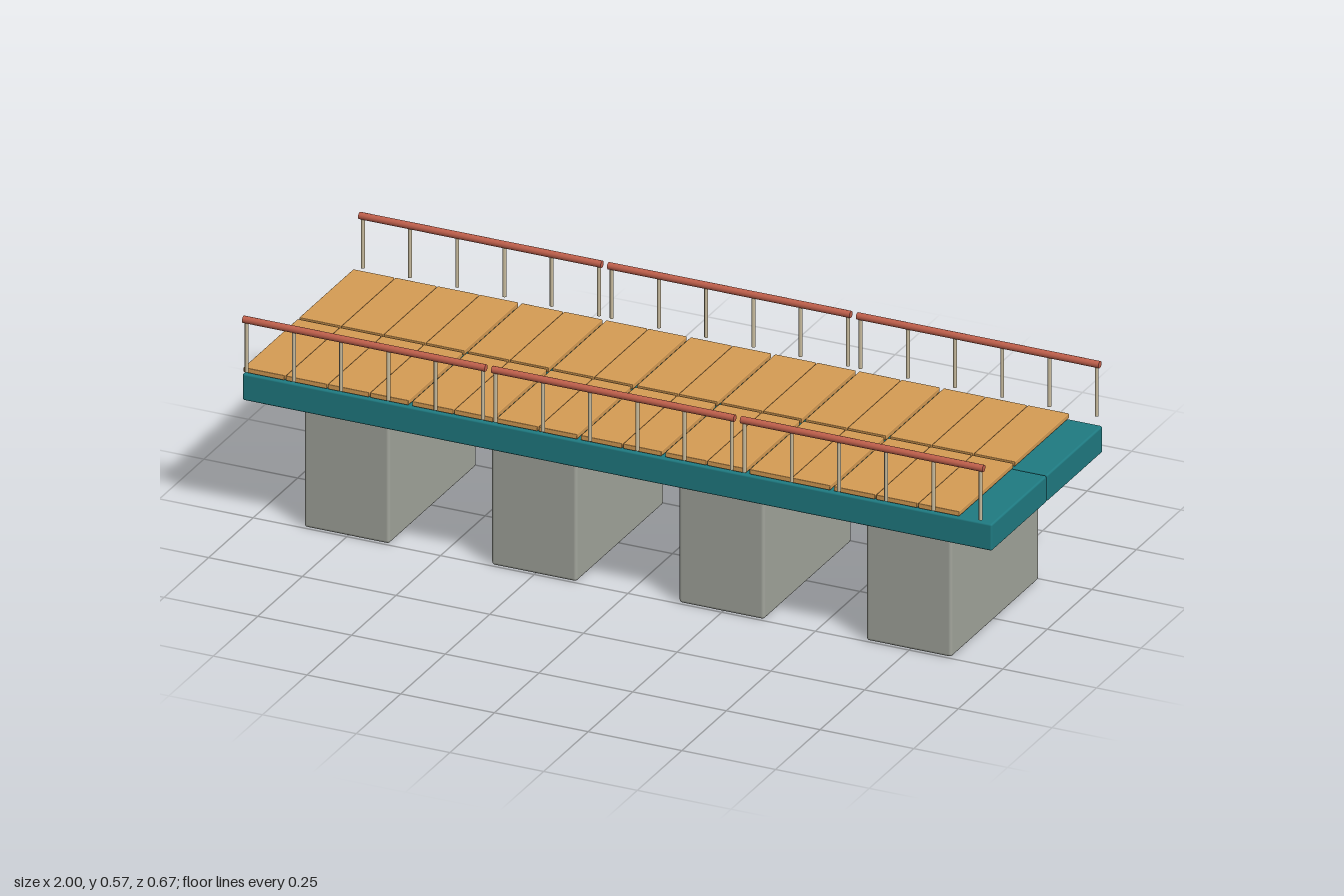
import * as THREE from 'three';
import { RoundedBoxGeometry } from 'three/addons/geometries/RoundedBoxGeometry.js';

const material = (name, color) => {
  const m = new THREE.MeshStandardMaterial({ color });
  m.name = name;
  return m;
};

export function createModel() {
  const stone = material('grey stone', 0xa2a59c);
  const teal = material('teal beam paint', 0x1f7b82);
  const wood = material('plank wood', 0xd69c54);
  const red = material('red handrail', 0xc0604c);
  const cream = material('cream post', 0xcabd9f);

  const bridge = new THREE.Group();
  bridge.name = 'bridge';

  const add = (name, geometry, mat, x, y, z, parent = bridge) => {
    const mesh = new THREE.Mesh(geometry, mat);
    mesh.name = name;
    mesh.position.set(x, y, z);
    parent.add(mesh);
    return mesh;
  };

  // Four stone piers
  const pierGeo = new RoundedBoxGeometry(0.228, 0.343, 0.492, 2, 0.008);
  for (let i = 0; i < 4; i++) add('pier', pierGeo, stone, -0.753 + i * 0.5, 0.1715, 0);

  const beamGeo = new RoundedBoxGeometry(2, 0.071, 0.31, 2, 0.005);
  const railGeo = new THREE.CylinderGeometry(0.009, 0.009, 0.647, 12).rotateZ(Math.PI / 2);
  const postGeo = new THREE.CylinderGeometry(0.0048, 0.0048, 0.136, 10);
  const pitch = 0.1125;
  const wideGaps = [4, 6, 8, 10, 12, 14]; // joints left slightly open

  // Each half: beam, planks and railing
  for (const side of [1, -1]) {
    add('deckBeam', beamGeo, teal, 0, 0.3745, side * 0.1565);

    const planks = new THREE.Group();
    planks.name = 'planks';
    bridge.add(planks);
    for (let i = 0; i < 17; i++) {
      const start = -0.998 + i * pitch;
      const width = pitch - (wideGaps.includes(i + 1) ? 0.01 : 0.003);
      const geo = new RoundedBoxGeometry(width, 0.013, 0.305, 1, 0.002);
      add('plank', geo, wood, start + width / 2, 0.4195, side * 0.1565, planks);
    }

    const railing = new THREE.Group();
    railing.name = 'railing';
    bridge.add(railing);
    for (let s = 0; s < 3; s++) {
      const centre = -0.666 + s * 0.664;
      add('handrail', railGeo, red, centre, 0.563, side * 0.326, railing);
      for (let p = 0; p < 6; p++) {
        add('railPost', postGeo, cream, centre - 0.315 + p * 0.126, 0.493, side * 0.326, railing);
      }
    }
  }
  return bridge;
}
